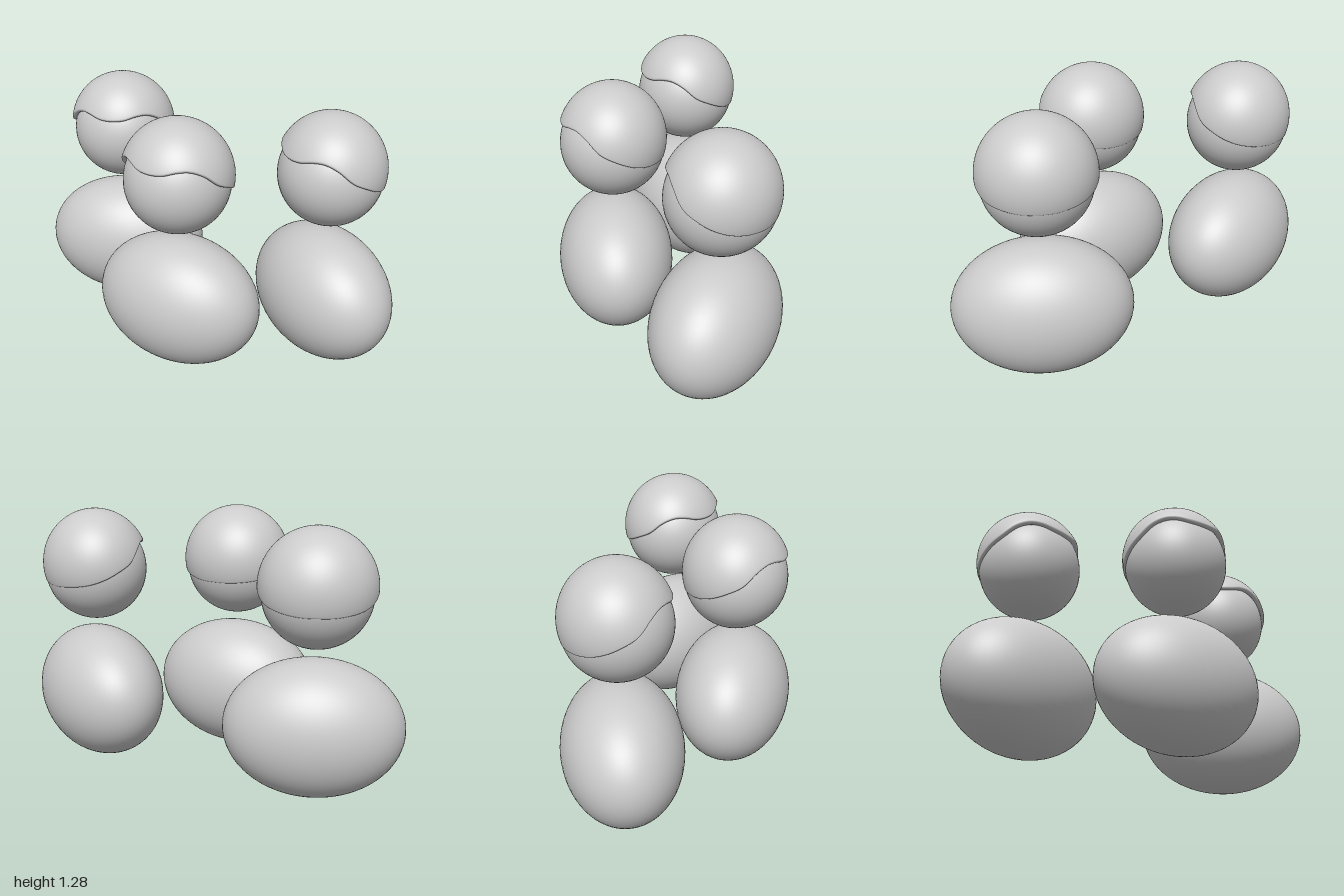
import * as THREE from 'three';

const material = new THREE.MeshStandardMaterial({ color: 0xcccccc });

// Hairline height every 15 degrees, from the forehead round to the nape
const hairline = [1.098, 1.103, 1.118, 1.118, 1.09, 1.035, 1.0, 0.968, 0.945, 0.932, 0.925, 0.92, 0.92];
const HAIR_Y = 1.008, HAIR_R = 0.272;

// Cap of hair: a dome cut along the hairline, with a rounded lip turned inwards
function hairGeometry() {
  const points = [];
  for (let i = -12; i <= 12; i++) points.push(new THREE.Vector2(i * Math.PI / 12, hairline[Math.abs(i)]));
  const edge = new THREE.SplineCurve(points);
  const columns = 120, domeRows = 26, lipRows = 8, rows = domeRows + lipRows + 1;
  const positions = [], indices = [];
  for (let c = 0; c <= columns; c++) {
    const p = edge.getPoint(c / columns);
    const phi = -Math.PI + 2 * Math.PI * c / columns;
    const end = Math.acos((p.y - HAIR_Y) / HAIR_R) - 0.04;
    for (let r = 0; r <= rows; r++) {
      let theta = end * Math.min(r / domeRows, 1), radius = HAIR_R;
      if (r > domeRows) {
        const a = Math.min((r - domeRows) / lipRows, 1) * Math.PI;
        theta += 0.04 * Math.sin(a);
        radius = r === rows ? 0.2 : HAIR_R - 0.013 + 0.013 * Math.cos(a);
      }
      positions.push(
        radius * Math.sin(theta) * Math.sin(phi),
        radius * Math.cos(theta),
        radius * Math.sin(theta) * Math.cos(phi) * 0.96
      );
      if (c < columns && r < rows) {
        const a = c * (rows + 1) + r, b = a + rows + 1;
        if (r > 0) indices.push(a, a + 1, b);
        indices.push(b, a + 1, b + 1);
      }
    }
  }
  const geometry = new THREE.BufferGeometry();
  geometry.setAttribute('position', new THREE.Float32BufferAttribute(positions, 3));
  geometry.setIndex(indices);
  geometry.computeVertexNormals();
  // Match the normals across the pole and the seam at the back
  const n = geometry.attributes.normal;
  for (let c = 0; c <= columns; c++) n.setXYZ(c * (rows + 1), 0, 1, 0);
  for (let r = 1; r <= rows; r++) {
    const last = columns * (rows + 1) + r;
    const v = new THREE.Vector3().fromBufferAttribute(n, r)
      .add(new THREE.Vector3().fromBufferAttribute(n, last)).normalize();
    n.setXYZ(r, v.x, v.y, v.z);
    n.setXYZ(last, v.x, v.y, v.z);
  }
  return geometry;
}

export function createModel() {
  const model = new THREE.Group();
  const sphere = new THREE.SphereGeometry(1, 64, 40);
  const hair = hairGeometry();

  function add(parent, name, geometry, y, scale = [1, 1, 1]) {
    const mesh = new THREE.Mesh(geometry, material);
    mesh.name = name;
    mesh.position.y = y;
    mesh.scale.set(...scale);
    parent.add(mesh);
  }

  // Three figures: x, z and turn in degrees; the rear two face inwards
  const places = [
    ['centerFigure', 0.02, 0.24, 0],
    ['rightFigure', -0.585, -0.188, 20],
    ['leftFigure', 0.602, -0.195, -31]
  ];
  for (const [name, x, z, turn] of places) {
    const figure = new THREE.Group();
    figure.name = name;
    figure.position.set(x, 0, z);
    figure.rotation.y = THREE.MathUtils.degToRad(turn);
    add(figure, 'body', sphere, 0.334, [0.427, 0.334, 0.29]);
    add(figure, 'head', sphere, 0.98, [0.255, 0.255, 0.252]);
    add(figure, 'hair', hair, HAIR_Y);
    model.add(figure);
  }
  return model;
}
